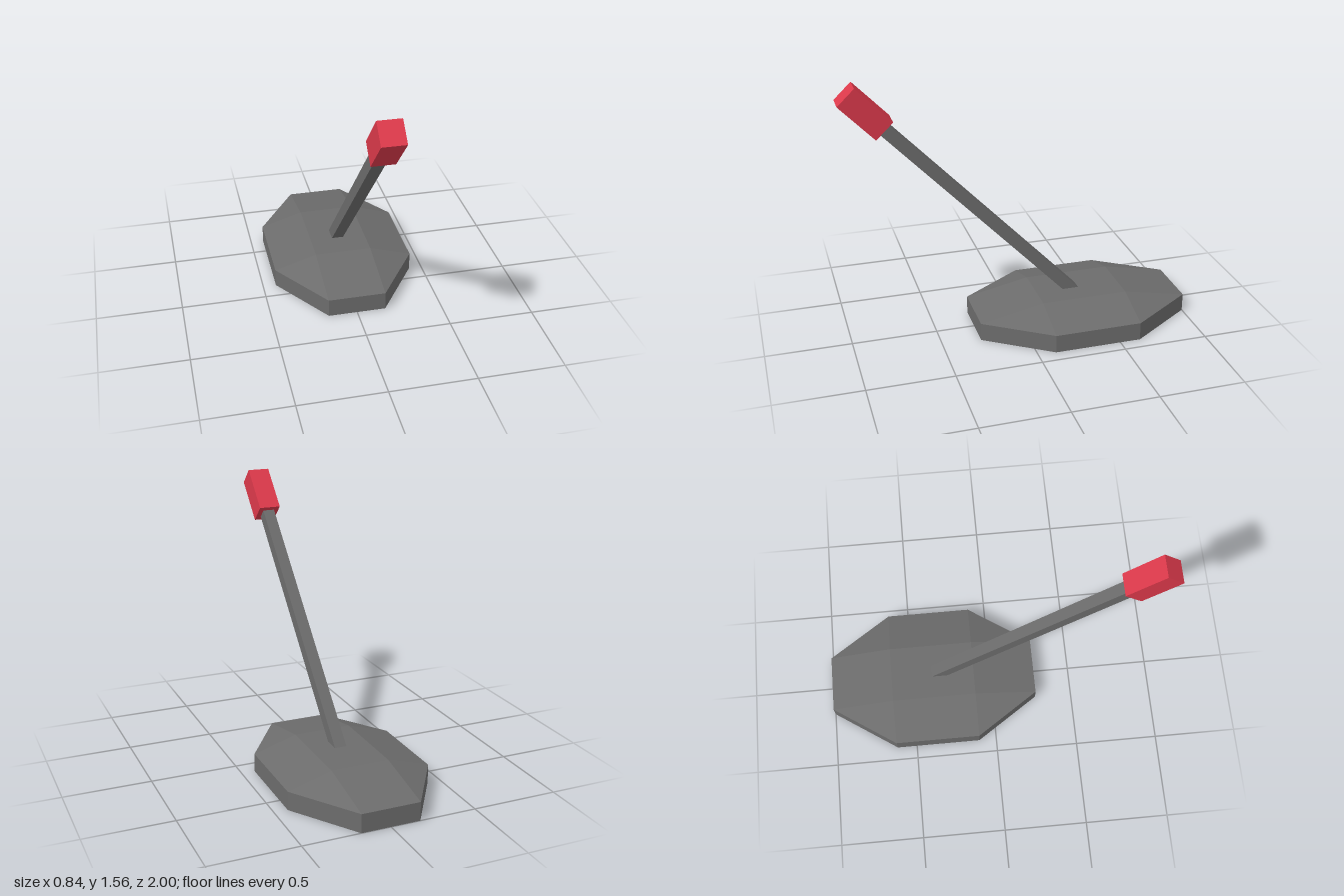
import * as THREE from 'three';
import { ConvexGeometry } from 'three/addons/geometries/ConvexGeometry.js';

export function createModel() {
  const model = new THREE.Group();
  const grey = new THREE.MeshStandardMaterial({ color: 0x6c6c6c, flatShading: true });
  const red = new THREE.MeshStandardMaterial({ color: 0xdc394b, flatShading: true });

  const add = (parent, name, geometry, material) => {
    const mesh = new THREE.Mesh(geometry, material);
    mesh.name = name;
    parent.add(mesh);
    return mesh;
  };

  // Base: long octagonal slab whose top slopes up to a flat rectangle
  const halfX = 0.422, innerX = 0.17, halfZ = 0.636, innerZ = 0.257;
  const rimY = 0.108, topY = 0.185;
  const points = [];
  for (const sx of [-1, 1]) {
    for (const sz of [-1, 1]) {
      for (const y of [0, rimY]) {
        points.push(new THREE.Vector3(sx * halfX, y, sz * innerZ));
        points.push(new THREE.Vector3(sx * innerX, y, sz * halfZ));
      }
      points.push(new THREE.Vector3(sx * innerX, topY, sz * innerZ));
    }
  }
  add(model, 'base', new ConvexGeometry(points), grey).position.z = -0.364;

  // Lever: its local y runs along the shaft, leaning forward from the base
  const lever = new THREE.Group();
  lever.name = 'lever';
  const foot = new THREE.Vector3(0, 0.145, -0.358);
  const gripCentre = new THREE.Vector3(0, 1.407, 0.854);
  const axis = gripCentre.clone().sub(foot);
  const reach = axis.length();
  lever.position.copy(foot);
  lever.rotation.x = Math.atan2(axis.z, axis.y);
  model.add(lever);

  const gripLength = 0.283, gripWidth = 0.13;
  const shaftLength = reach - gripLength / 2 + 0.02;
  add(lever, 'shaft', new THREE.BoxGeometry(0.07, shaftLength, 0.07), grey)
    .position.y = shaftLength / 2;
  add(lever, 'grip', new THREE.BoxGeometry(gripWidth, gripLength, gripWidth + 0.004), red)
    .position.y = reach;

  return model;
}
